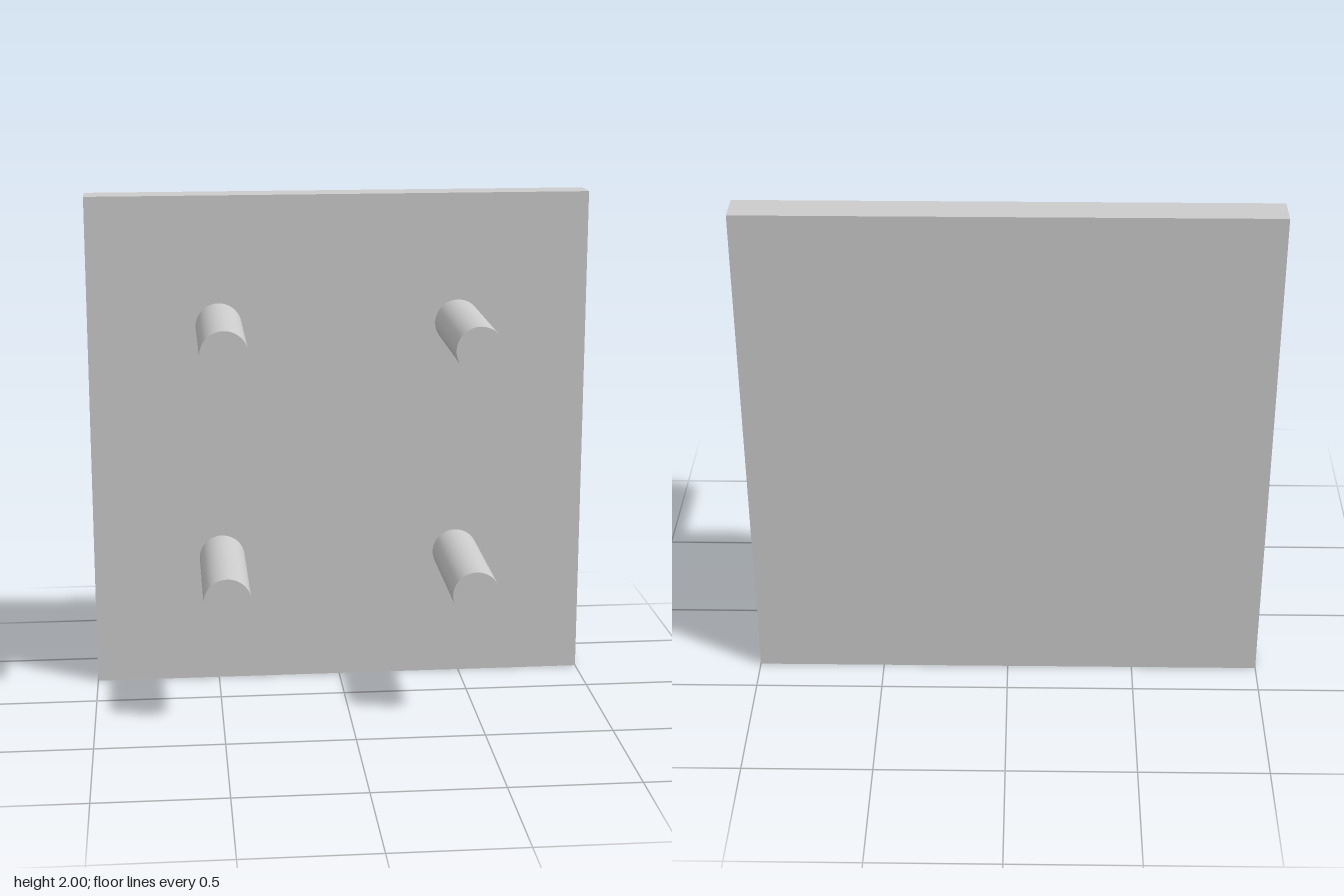
import * as THREE from 'three';

const BACK = -0.36, FACE = -0.23, TIP = 0.36;

export function createModel() {
  const model = new THREE.Group();
  const material = new THREE.MeshStandardMaterial({ color: 0xcccccc });

  // Upright square plate
  const plate = new THREE.Mesh(new THREE.BoxGeometry(2, 2, FACE - BACK), material);
  plate.name = 'plate';
  plate.position.set(0, 1, (BACK + FACE) / 2);
  model.add(plate);

  // Four round pegs standing out from the front face
  const pegGeometry = new THREE.CylinderGeometry(0.092, 0.092, TIP - FACE, 48).rotateX(Math.PI / 2);
  for (const [row, y] of [['lower', 0.52], ['upper', 1.48]]) {
    for (const [side, x] of [['Right', -0.48], ['Left', 0.48]]) {
      const peg = new THREE.Mesh(pegGeometry, material);
      peg.name = `${row}${side}Peg`;
      peg.position.set(x, y, (FACE + TIP) / 2);
      model.add(peg);
    }
  }
  return model;
}
